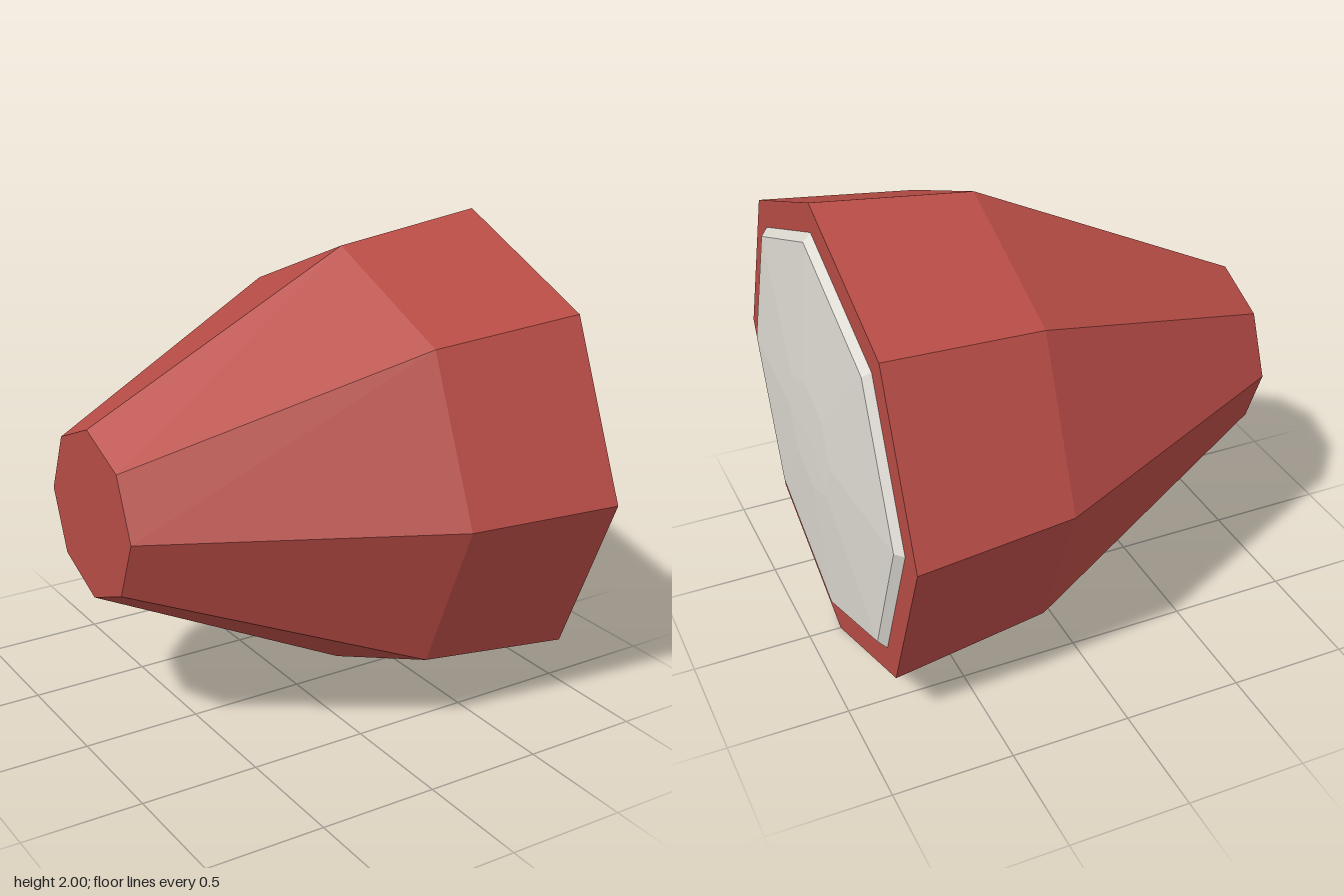
import * as THREE from 'three';

const SIDES = 8;

// Faceted solid of revolution along +x from [x, radius] pairs
function turned(name, profile, material) {
  const points = profile.map(([x, r]) => new THREE.Vector2(r, x));
  const geometry = new THREE.LatheGeometry(points, SIDES).toNonIndexed();
  geometry.rotateZ(-Math.PI / 2);
  geometry.computeVertexNormals();
  const mesh = new THREE.Mesh(geometry, material);
  mesh.name = name;
  mesh.position.y = 1;
  return mesh;
}

export function createModel() {
  const red = new THREE.MeshStandardMaterial({ color: 0xb84c46 });
  red.name = 'red housing';
  const white = new THREE.MeshStandardMaterial({ color: 0xdfdcd4 });
  white.name = 'warm white lens';

  const model = new THREE.Group();
  model.name = 'lamp';

  // Tapered housing, closed at both ends
  model.add(turned('housing', [
    [-0.935, 0], [-0.935, 0.35], [0.21, 0.92], [0.862, 1], [0.862, 0],
  ], red));

  // Bevelled, slightly domed lens on the wide end
  model.add(turned('lens', [
    [0.862, 0.88], [0.893, 0.846], [0.93, 0.25], [0.932, 0],
  ], white));

  return model;
}
